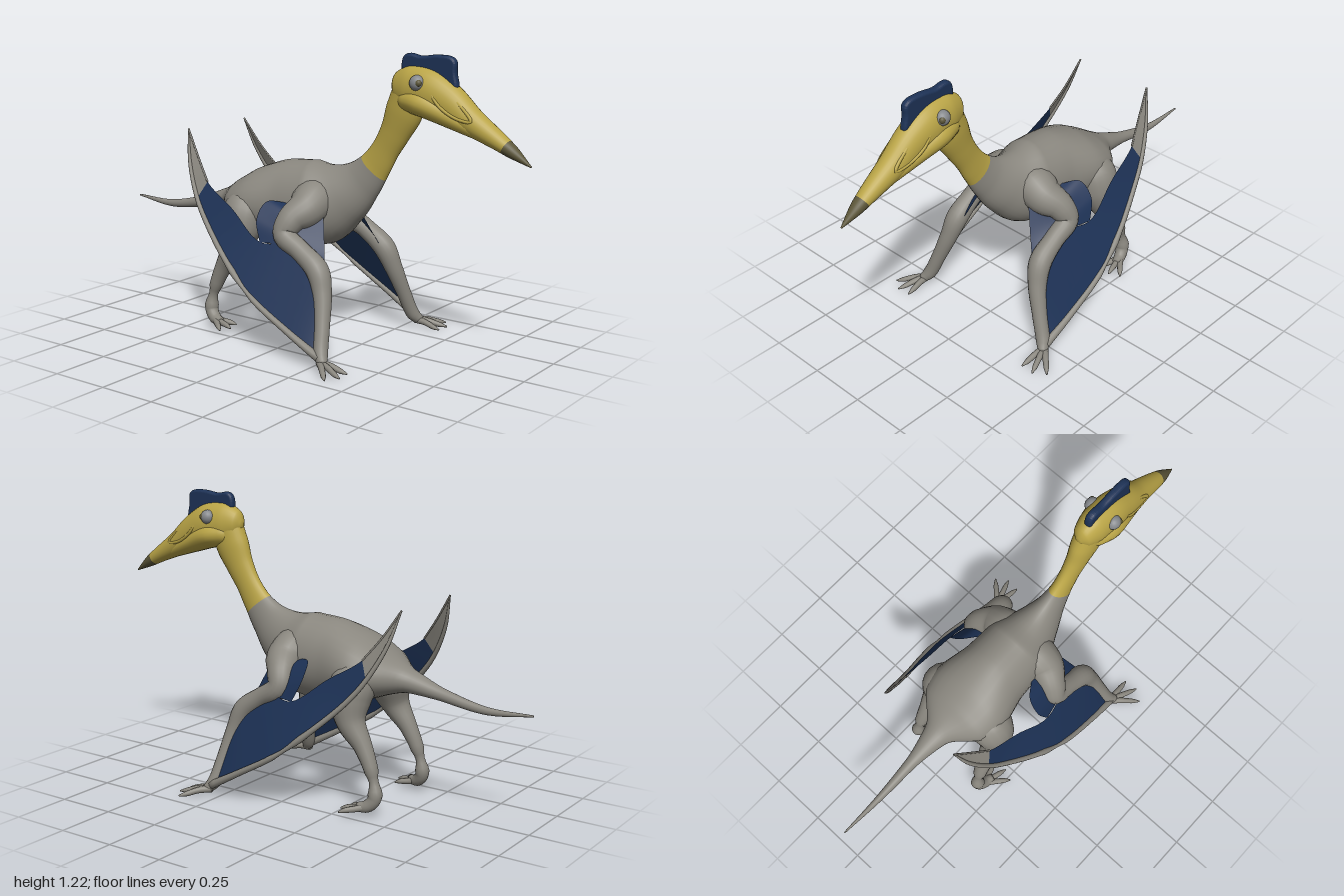
import * as THREE from 'three';

const V = (p) => new THREE.Vector3(...p);
const mat = (name, color, side = THREE.FrontSide) => {
  const m = new THREE.MeshStandardMaterial({ color, side });
  m.name = name;
  return m;
};

// Smooth tube through stations [x, y, z, halfWidth, halfHeight], between curve parameters t0 and t1
function loft(stations, steps = 30, sides = 20, t0 = 0, t1 = 1) {
  const path = new THREE.CatmullRomCurve3(stations.map((s) => V(s.slice(0, 3))));
  const size = new THREE.CatmullRomCurve3(stations.map((s) => new THREE.Vector3(s[3], s[4] ?? s[3], 0)));
  const pos = [], idx = [];
  let S = null;
  for (let i = 0; i <= steps; i++) {
    const t = t0 + ((t1 - t0) * i) / steps;
    const c = path.getPoint(t), r = size.getPoint(t), T = path.getTangent(t);
    if (!S) S = Math.abs(T.x) > 0.85 ? V([0, 0, 1]) : V([1, 0, 0]);
    S = S.clone().addScaledVector(T, -T.dot(S)).normalize();
    const N = T.clone().cross(S);
    for (let j = 0; j < sides; j++) {
      const a = (j / sides) * Math.PI * 2;
      const p = c.clone()
        .addScaledVector(S, Math.cos(a) * Math.max(r.x, 0.002))
        .addScaledVector(N, Math.sin(a) * Math.max(r.y, 0.002));
      pos.push(p.x, p.y, p.z);
      if (i < steps) {
        const k = (j + 1) % sides, o = i * sides;
        idx.push(o + j, o + k, o + sides + j, o + k, o + sides + k, o + sides + j);
      }
    }
  }
  // close only the true ends
  const cap = (t, o, flip) => {
    const n = pos.length / 3;
    pos.push(...path.getPoint(t).toArray());
    for (let j = 0; j < sides; j++) {
      const k = (j + 1) % sides;
      if (flip) idx.push(n, o + k, o + j);
      else idx.push(n, o + j, o + k);
    }
  };
  if (t0 === 0) cap(0, 0, true);
  if (t1 === 1) cap(1, steps * sides, false);
  return surface(pos, idx);
}

function surface(pos, idx) {
  const g = new THREE.BufferGeometry();
  g.setAttribute('position', new THREE.Float32BufferAttribute(pos, 3));
  g.setIndex(idx);
  g.computeVertexNormals();
  return g;
}

// Thin skin stretched between two edge curves
function skin(edgeA, edgeB, t0 = 0, t1 = 1, steps = 32, rows = 4) {
  const A = new THREE.CatmullRomCurve3(edgeA.map(V)), B = new THREE.CatmullRomCurve3(edgeB.map(V));
  const pos = [], idx = [], w = rows + 1;
  for (let i = 0; i <= steps; i++) {
    const t = t0 + ((t1 - t0) * i) / steps;
    const a = A.getPoint(t), b = B.getPoint(t);
    for (let j = 0; j <= rows; j++) {
      pos.push(...a.clone().lerp(b, j / rows).toArray());
      if (i < steps && j < rows) {
        const o = i * w + j;
        idx.push(o, o + 1, o + w, o + 1, o + w + 1, o + w);
      }
    }
  }
  return surface(pos, idx);
}

export function createModel() {
  const grey = mat('grey skin', 0x8a877f, THREE.DoubleSide);
  const yellow = mat('yellow skin', 0xb9a446);
  const blue = mat('blue membrane', 0x1d3256, THREE.DoubleSide);
  const horn = mat('dark horn', 0x5c5639);
  const eyeGrey = mat('eye grey', 0x85888c);
  const root = new THREE.Group();
  const add = (name, geo, m, parent = root) => {
    const mesh = new THREE.Mesh(geo, m);
    mesh.name = name;
    parent.add(mesh);
    return mesh;
  };

  // Neck, torso and tail share one spine
  const spine = [
    [0, 1.08, 0.472, 0.055, 0.078], [0, 1.0, 0.442, 0.052, 0.08], [0, 0.915, 0.402, 0.042, 0.066],
    [0, 0.84, 0.358, 0.036, 0.06], [0, 0.77, 0.312, 0.037, 0.068], [0, 0.70, 0.25, 0.052, 0.09],
    [0, 0.635, 0.165, 0.092, 0.13], [0, 0.585, 0.05, 0.145, 0.178], [0, 0.57, -0.1, 0.155, 0.178],
    [0, 0.56, -0.24, 0.185, 0.145], [0, 0.55, -0.34, 0.165, 0.1], [0, 0.535, -0.45, 0.06, 0.05],
    [0, 0.502, -0.6, 0.026, 0.026], [0, 0.468, -0.8, 0.014, 0.016], [0, 0.48, -1.0, 0.003, 0.004],
  ];
  const collar = 4.2 / (spine.length - 1);
  add('neck', loft(spine, 24, 28, 0, collar), yellow);
  add('torsoAndTail', loft(spine, 70, 28, collar, 1), grey);

  // Skull and beak with a dark tip
  const skull = [
    [0, 1.09, 0.388, 0.012, 0.015], [0, 1.092, 0.41, 0.042, 0.06], [0, 1.09, 0.47, 0.063, 0.093],
    [0, 1.08, 0.55, 0.07, 0.096], [0, 1.045, 0.64, 0.064, 0.08], [0, 0.985, 0.74, 0.053, 0.056],
    [0, 0.92, 0.86, 0.038, 0.035], [0, 0.885, 0.92, 0.028, 0.025], [0, 0.837, 0.998, 0.003, 0.003],
  ];
  const tipStart = 0.815;
  add('headAndBeak', loft(skull, 40, 28, 0, tipStart), yellow);
  add('beakTip', loft(skull, 10, 28, tipStart, 1), horn);
  add('jaw', loft([
    [0, 1.06, 0.41, 0.02, 0.02], [0, 1.05, 0.46, 0.066, 0.05], [0, 1.04, 0.54, 0.087, 0.058],
    [0, 1.0, 0.65, 0.068, 0.048], [0, 0.95, 0.77, 0.042, 0.032], [0, 0.92, 0.84, 0.02, 0.015],
  ], 30, 24), yellow);

  // Crest, drawn in the side plane, then turned so its length runs along z
  const crestShape = new THREE.Shape();
  crestShape.moveTo(-0.668, 1.08);
  crestShape.bezierCurveTo(-0.68, 1.13, -0.655, 1.14, -0.662, 1.19);
  crestShape.bezierCurveTo(-0.665, 1.217, -0.63, 1.217, -0.6, 1.216);
  crestShape.bezierCurveTo(-0.55, 1.216, -0.53, 1.2, -0.49, 1.212);
  crestShape.bezierCurveTo(-0.45, 1.222, -0.44, 1.21, -0.443, 1.16);
  crestShape.lineTo(-0.56, 1.13);
  const crestGeo = new THREE.ExtrudeGeometry(crestShape, {
    depth: 0.006, bevelThickness: 0.014, bevelSize: 0.012, bevelSegments: 5, curveSegments: 10,
  });
  crestGeo.translate(0, 0, -0.003).rotateY(Math.PI / 2);
  add('crest', crestGeo, blue);

  for (const s of [1, -1]) {
    const side = new THREE.Group();
    side.name = s > 0 ? 'leftSide' : 'rightSide';
    root.add(side);
    const mir = (pts) => pts.map(([x, ...rest]) => [s * x, ...rest]);
    const limb = (name, pts, m, steps, sides) => add(name, loft(mir(pts), steps, sides), m, side);
    const web = (name, a, b, m, t0, t1) => add(name, skin(mir(a), mir(b), t0, t1), m, side);
    const ball = (name, p, r, m) => {
      const b = add(name, new THREE.SphereGeometry(1, 20, 14), m, side);
      b.position.set(s * p[0], p[1], p[2]);
      b.scale.set(...r);
    };

    // Face: eye and the hollow along the beak
    ball('eye', [0.056, 1.12, 0.532], [0.029, 0.031, 0.031], eyeGrey);
    ball('pupil', [0.07, 1.122, 0.546], [0.014, 0.015, 0.015], horn);
    const rim = mir([[0.046, 0.99, 0.765], [0.055, 1.0, 0.70], [0.064, 1.045, 0.63], [0.057, 1.09, 0.60],
      [0.043, 1.095, 0.64], [0.042, 1.045, 0.715]]);
    add('beakHollowRim', new THREE.TubeGeometry(new THREE.CatmullRomCurve3(rim.map(V), true), 40, 0.007, 8, true),
      yellow, side);

    // Folded arm from shoulder to hand
    limb('arm', [
      [0.03, 0.62, 0.06, 0.08], [0.08, 0.605, 0.062, 0.09], [0.14, 0.575, 0.062, 0.08],
      [0.2, 0.54, 0.035, 0.06], [0.23, 0.485, 0.025, 0.049], [0.236, 0.43, 0.11, 0.042],
      [0.24, 0.365, 0.195, 0.047], [0.257, 0.28, 0.232, 0.039], [0.298, 0.16, 0.262, 0.031],
      [0.338, 0.06, 0.285, 0.029], [0.36, 0.028, 0.31, 0.019],
    ], grey, 54, 18);

    // Hind leg
    limb('hindLeg', [
      [0.07, 0.57, -0.265, 0.06], [0.125, 0.52, -0.268, 0.095], [0.15, 0.455, -0.268, 0.086],
      [0.168, 0.375, -0.287, 0.06], [0.172, 0.285, -0.347, 0.038], [0.178, 0.18, -0.395, 0.028],
      [0.184, 0.085, -0.412, 0.028], [0.194, 0.05, -0.385, 0.026], [0.205, 0.042, -0.345, 0.019],
    ], grey, 44, 18);

    // Toes: one start, three tips each
    const toes = (name, [x, y, z], tips) => tips.forEach(([tx, ty, tz]) => limb(name, [
      [x, y, z, 0.016], [x + (tx - x) * 0.4, y * 0.7 + 0.006, z + (tz - z) * 0.4, 0.013],
      [x + (tx - x) * 0.75, ty + 0.007, z + (tz - z) * 0.75, 0.011], [tx, ty, tz, 0.003],
    ], grey, 14, 10));
    toes('finger', [0.352, 0.03, 0.29], [[0.452, 0.008, 0.385], [0.402, 0.008, 0.42], [0.342, 0.008, 0.415]]);
    toes('toe', [0.195, 0.048, -0.385], [[0.27, 0.028, -0.295], [0.222, 0.028, -0.275], [0.165, 0.028, -0.29]]);

    // Wing: blue skin with a grey blade at the tip and a long finger along its edge
    const lower = [[0.355, 0.05, 0.285], [0.363, 0.13, 0.14], [0.361, 0.24, -0.05], [0.335, 0.35, -0.19],
      [0.288, 0.49, -0.34], [0.262, 0.585, -0.415], [0.224, 0.72, -0.485], [0.185, 0.86, -0.525]];
    const upper = [[0.335, 0.07, 0.285], [0.27, 0.32, 0.22], [0.25, 0.45, 0.07], [0.275, 0.45, -0.07],
      [0.252, 0.56, -0.23], [0.234, 0.655, -0.38], [0.208, 0.745, -0.45], [0.185, 0.86, -0.525]];
    web('wingSkin', upper, lower, blue, 0, 5 / 7);
    web('wingBlade', upper, lower, grey, 5 / 7, 1);
    const radii = [0.018, 0.014, 0.012, 0.012, 0.011, 0.01, 0.008, 0.003];
    limb('wingFinger', lower.map((p, i) => [...p, radii[i]]), grey, 40, 10);
    limb('wingTrailingEdge', upper.slice(5).map((p) => [...p, 0.004]), grey, 14, 8);

    // Skin behind the upper arm and in front of the elbow
    web('rearArmSkin', [[0.13, 0.58, 0.02], [0.19, 0.56, 0.02], [0.23, 0.5, 0.02], [0.25, 0.45, 0.04]],
      [[0.145, 0.595, -0.03], [0.195, 0.6, -0.095], [0.25, 0.535, -0.105], [0.275, 0.448, -0.07]], blue);
    web('frontArmSkin', [[0.11, 0.585, 0.13], [0.152, 0.485, 0.165], [0.195, 0.385, 0.2]],
      [[0.15, 0.58, 0.09], [0.23, 0.48, 0.06], [0.24, 0.39, 0.18]], blue);
  }
  return root;
}
